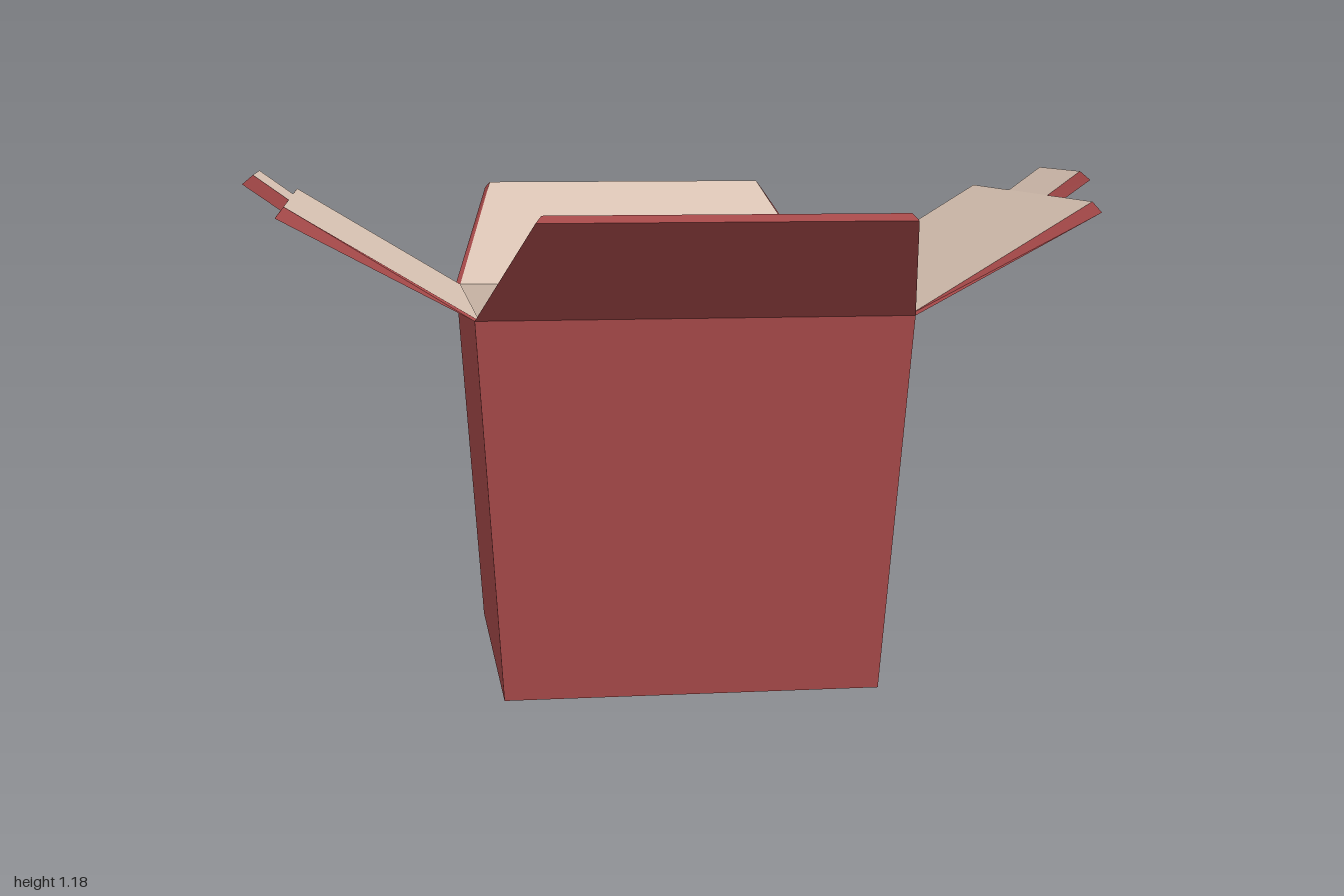
import * as THREE from 'three';

const red = new THREE.MeshStandardMaterial({ color: 0xa84a4a, side: THREE.DoubleSide });
const tan = new THREE.MeshStandardMaterial({ color: 0xd8c2b2, side: THREE.DoubleSide });

const mirror = ([x, y, z]) => [-x, y, z];

// Flat-shaded mesh from quads, corners counter-clockwise seen from the front
function quadMesh(name, quads, material) {
  const positions = quads.flatMap(([a, b, c, d]) => [a, b, c, a, c, d].flat());
  const geometry = new THREE.BufferGeometry();
  geometry.setAttribute('position', new THREE.Float32BufferAttribute(positions, 3));
  geometry.computeVertexNormals();
  const mesh = new THREE.Mesh(geometry, material);
  mesh.name = name;
  return mesh;
}

// Panel symmetric in x, spanned between the points of its right-hand edge
function strip(edge, inward) {
  const quads = [];
  for (let i = 0; i + 1 < edge.length; i++) {
    const [a, b] = [edge[i], edge[i + 1]];
    if (a[1] === b[1] && a[2] === b[2]) continue; // shoulder of a tab, no area
    const quad = [mirror(a), a, b, mirror(b)];
    quads.push(inward ? quad.reverse() : quad);
  }
  return quads;
}

// Cut edge of the board, joining the outer outline to the inner one
function rimQuads(outer, inner) {
  const quads = [];
  for (let i = 0; i + 1 < outer.length; i++) {
    const quad = [outer[i], inner[i], inner[i + 1], outer[i + 1]];
    quads.push(quad, quad.map(mirror).reverse());
  }
  const [o, n] = [outer.at(-1), inner.at(-1)];
  quads.push([mirror(o), o, n, mirror(n)]);
  return quads;
}

// One side of the box, facing +z before it is turned
function buildSide(name, wallOuter, wallInner, flapOuter, flapInner) {
  const side = new THREE.Group();
  side.name = name;
  side.add(
    quadMesh('outerWall', strip(wallOuter), red),
    quadMesh('innerWall', strip(wallInner, true), tan),
    quadMesh('flapOutside', strip(flapOuter), red),
    quadMesh('flapInside', strip(flapInner, true), tan),
    quadMesh('flapEdge', rimQuads(flapOuter, flapInner), red)
  );
  return side;
}

// Horizontal square closing the box at height y
function panel(name, size, y, material, down) {
  const geometry = new THREE.PlaneGeometry(size, size).rotateX(down ? Math.PI / 2 : -Math.PI / 2);
  const mesh = new THREE.Mesh(geometry, material);
  mesh.name = name;
  mesh.position.y = y;
  return mesh;
}

export function createModel() {
  const group = new THREE.Group();
  group.name = 'openBox';

  const base = 0.432, floor = 0.419, floorY = 0.015, rimY = 0.87;
  const topX = 0.492, topZ = 0.495, innerTop = 0.481;

  for (let i = 0; i < 4; i++) {
    const tabbed = i % 2 === 1;
    const [half, depth] = tabbed ? [topZ, topX] : [topX, topZ];
    const hingeOuter = [half, rimY, depth];
    const hingeInner = [innerTop, rimY, innerTop];
    // Tabbed flaps on left and right, tapered flaps on front and back
    const flapOuter = tabbed
      ? [hingeOuter, [0.503, 1.097, 0.915], [0.163, 1.097, 0.915], [0.163, 1.157, 1.0]]
      : [hingeOuter, [0.39, 1.105, 0.917]];
    const flapInner = tabbed
      ? [hingeInner, [0.491, 1.121, 0.896], [0.16, 1.121, 0.896], [0.16, 1.178, 0.975]]
      : [hingeInner, [0.377, 1.12, 0.906]];
    const side = buildSide(
      ['frontSide', 'leftSide', 'backSide', 'rightSide'][i],
      [[base, 0, base], hingeOuter],
      [[floor, floorY, floor], hingeInner],
      flapOuter,
      flapInner
    );
    side.rotation.y = (i * Math.PI) / 2;
    group.add(side);
  }

  group.add(panel('bottom', base * 2, 0, red, true));
  group.add(panel('floor', floor * 2, floorY, tan, false));
  return group;
}
